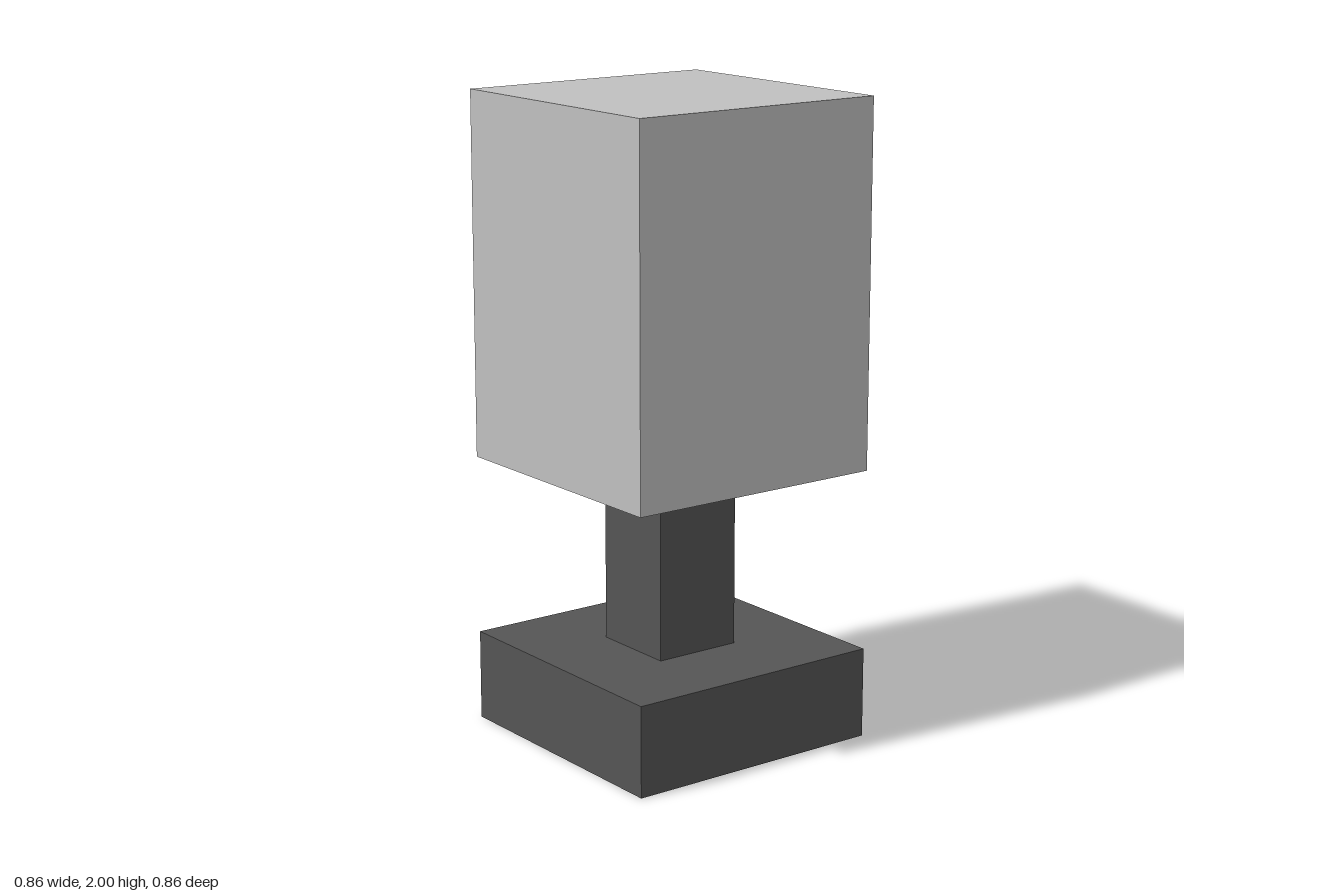
import * as THREE from 'three';

const U = 1 / 7; // module the lamp's proportions are based on

export function createModel() {
  const model = new THREE.Group();
  model.name = 'tableLamp';

  const darkGrey = new THREE.MeshStandardMaterial({ color: 0x555555 });
  darkGrey.name = 'dark grey';
  const lightGrey = new THREE.MeshStandardMaterial({ color: 0xc0c0c0 });
  lightGrey.name = 'light grey';

  // Square block from one height to another, in modules
  const block = (name, width, bottom, top, material) => {
    const geometry = new THREE.BoxGeometry(width * U, (top - bottom) * U, width * U);
    const mesh = new THREE.Mesh(geometry, material);
    mesh.name = name;
    mesh.position.y = ((bottom + top) / 2) * U;
    model.add(mesh);
  };

  block('base', 6, 0, 2, darkGrey);
  block('stem', 2, 2, 6, darkGrey);
  block('shade', 6, 6, 14, lightGrey);

  return model;
}
